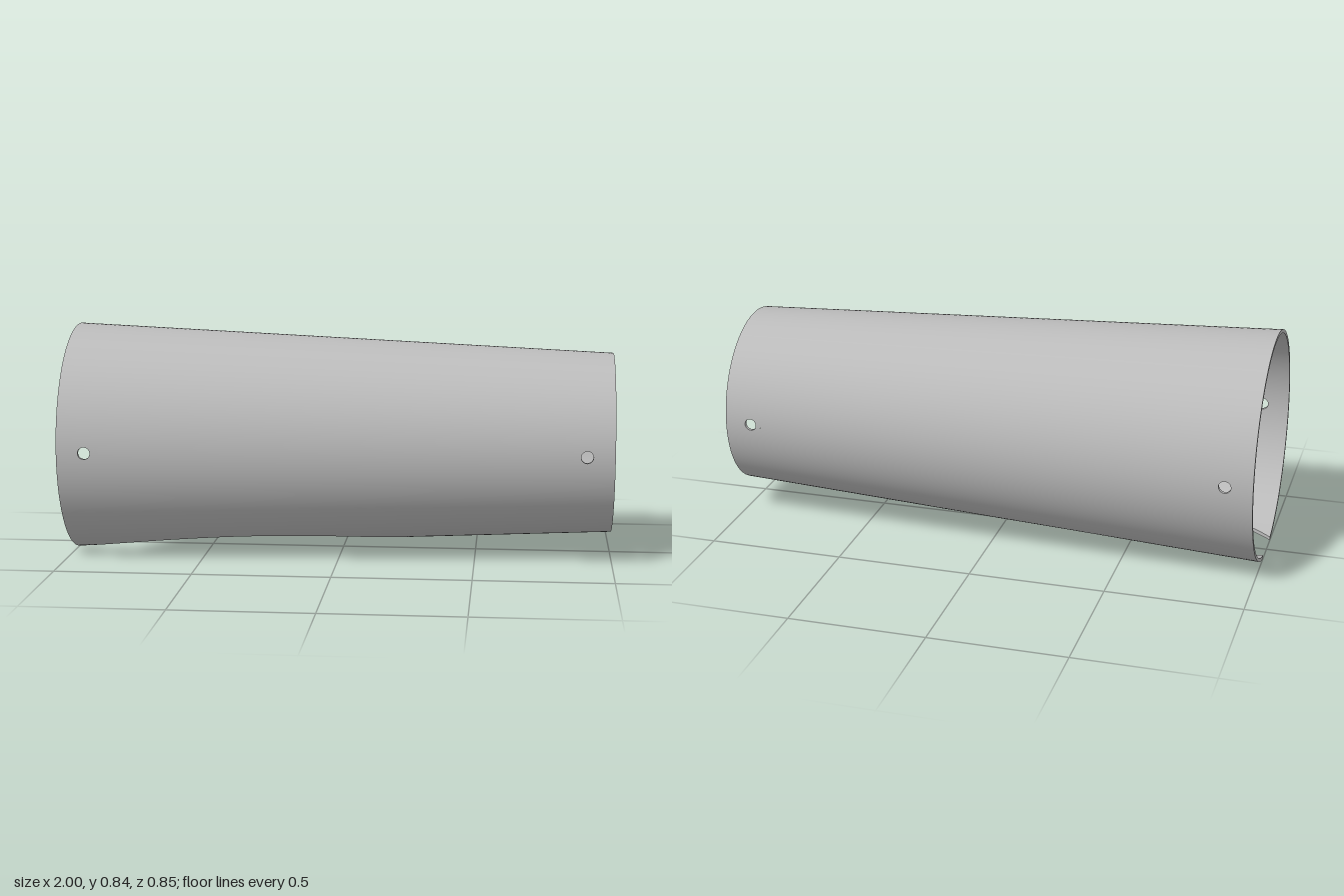
import * as THREE from 'three';

const AXIS_Y = 0.417, WALL = 0.013, SLOPE = 0.046;
const HOLE_R = 0.022, PAD = 0.04, HOLE_X = [-0.9, 0.9];
const CUT = { x: -0.39, a: 0.67, b: 0.195 };   // elliptical cut-out underneath
const CUT_END = CUT.x + CUT.a;

// Tube radius at x; t is the depth below the outer skin.
const radius = (x, t) => 0.378 - SLOPE * x - t;
const lerp = THREE.MathUtils.lerp;

// Angle is measured from the bottom of the tube towards +z.
const cutAngle = (x, t) => {
  const k = (x - CUT.x) / CUT.a;
  return k >= 1 ? 0 : Math.asin(CUT.b * Math.sqrt(Math.max(0, 1 - k * k)) / radius(x, t));
};
const sideAngle = (x, dy, t) => Math.PI / 2 + Math.asin(dy / radius(x, t));

function point([x, angle], t) {
  const r = radius(x, t);
  return new THREE.Vector3(x, AXIS_Y - r * Math.cos(angle), r * Math.sin(angle));
}

export function createModel() {
  const positions = [], normals = [];

  // Adds a triangle and its mirror image in z.
  function triangle(p, n) {
    for (const [side, order] of [[1, [0, 1, 2]], [-1, [0, 2, 1]]]) {
      for (const i of order) {
        positions.push(p[i].x, p[i].y, side * p[i].z);
        normals.push(n[i].x, n[i].y, side * n[i].z);
      }
    }
  }

  // facing: 1 outer skin, -1 inner skin, 0 flat cut edge
  function quad(a, b, c, d, facing) {
    const flat = new THREE.Vector3().crossVectors(c.clone().sub(a), d.clone().sub(b)).normalize();
    const normal = (p) => {
      if (!facing) return flat;
      const r = Math.hypot(p.y - AXIS_Y, p.z);
      return new THREE.Vector3(SLOPE, (p.y - AXIS_Y) / r, p.z / r).normalize().multiplyScalar(facing);
    };
    for (const p of [[a, b, c], [a, c, d]]) triangle(p, p.map(normal));
  }

  // Both skins over a patch; f(u, v, t) gives [x, angle].
  function patch(nu, nv, f) {
    for (let i = 0; i < nu; i++) {
      for (let j = 0; j < nv; j++) {
        for (const t of [0, WALL]) {
          const at = (du, dv) => point(f((i + du) / nu, (j + dv) / nv, t), t);
          const [a, b, c, d] = [at(0, 0), at(1, 0), at(1, 1), at(0, 1)];
          if (t === 0) quad(a, b, c, d, 1);
          else quad(a, d, c, b, -1);
        }
      }
    }
  }

  // Wall thickness along a boundary, with the sheet on its left.
  function rim(n, f) {
    for (let i = 0; i < n; i++) {
      const at = (k, t) => point(f((i + k) / n, t), t);
      quad(at(0, 0), at(0, WALL), at(1, WALL), at(1, 0), 0);
    }
  }

  // Lower sheet beside the cut-out, then the closed part beyond it
  const start = Math.acos((-1 - CUT.x) / CUT.a);
  const cutX = (u) => (u === 0 ? -1 : CUT.x + CUT.a * Math.cos(start * (1 - u)));
  const lower = (x, v, t) => [x, lerp(cutAngle(x, t), sideAngle(x, -PAD, t), v)];
  patch(48, 28, (u, v, t) => lower(cutX(u), v, t));
  patch(6, 28, (u, v, t) => lower(lerp(CUT_END, 1, u), v, t));

  // Upper sheet
  patch(12, 28, (u, v, t) => {
    const x = lerp(-1, 1, u);
    return [x, lerp(sideAngle(x, PAD, t), Math.PI, v)];
  });

  // Side band between the screw holes
  for (const [x0, x1] of [[-1, -0.9 - PAD], [-0.9 + PAD, 0.9 - PAD], [0.9 + PAD, 1]]) {
    patch(8, 4, (u, v, t) => {
      const x = lerp(x0, x1, u);
      return [x, sideAngle(x, lerp(-PAD, PAD, v), t)];
    });
  }

  // Square pads with a round screw hole
  for (const hx of HOLE_X) {
    const around = (s, v, t) => {
      const phi = v * Math.PI * 2, c = Math.cos(phi), d = Math.sin(phi);
      const k = lerp(HOLE_R, PAD / Math.max(Math.abs(c), Math.abs(d)), s);
      const x = hx + k * c;
      return [x, sideAngle(x, k * d, t)];
    };
    patch(3, 32, around);
    rim(32, (v, t) => around(0, 1 - v, t));
  }

  // End rims and the edge of the cut-out
  rim(64, (v, t) => [-1, lerp(Math.PI, cutAngle(-1, t), v)]);
  rim(64, (v) => [1, v * Math.PI]);
  rim(48, (u, t) => [cutX(u), cutAngle(cutX(u), t)]);

  const geometry = new THREE.BufferGeometry();
  geometry.setAttribute('position', new THREE.Float32BufferAttribute(positions, 3));
  geometry.setAttribute('normal', new THREE.Float32BufferAttribute(normals, 3));

  const grey = new THREE.MeshStandardMaterial({ color: 0xbababa });
  grey.name = 'lightGrey';
  const tube = new THREE.Mesh(geometry, grey);
  tube.name = 'taperedTube';

  const model = new THREE.Group();
  model.name = 'taperedSleeve';
  model.add(tube);
  return model;
}
